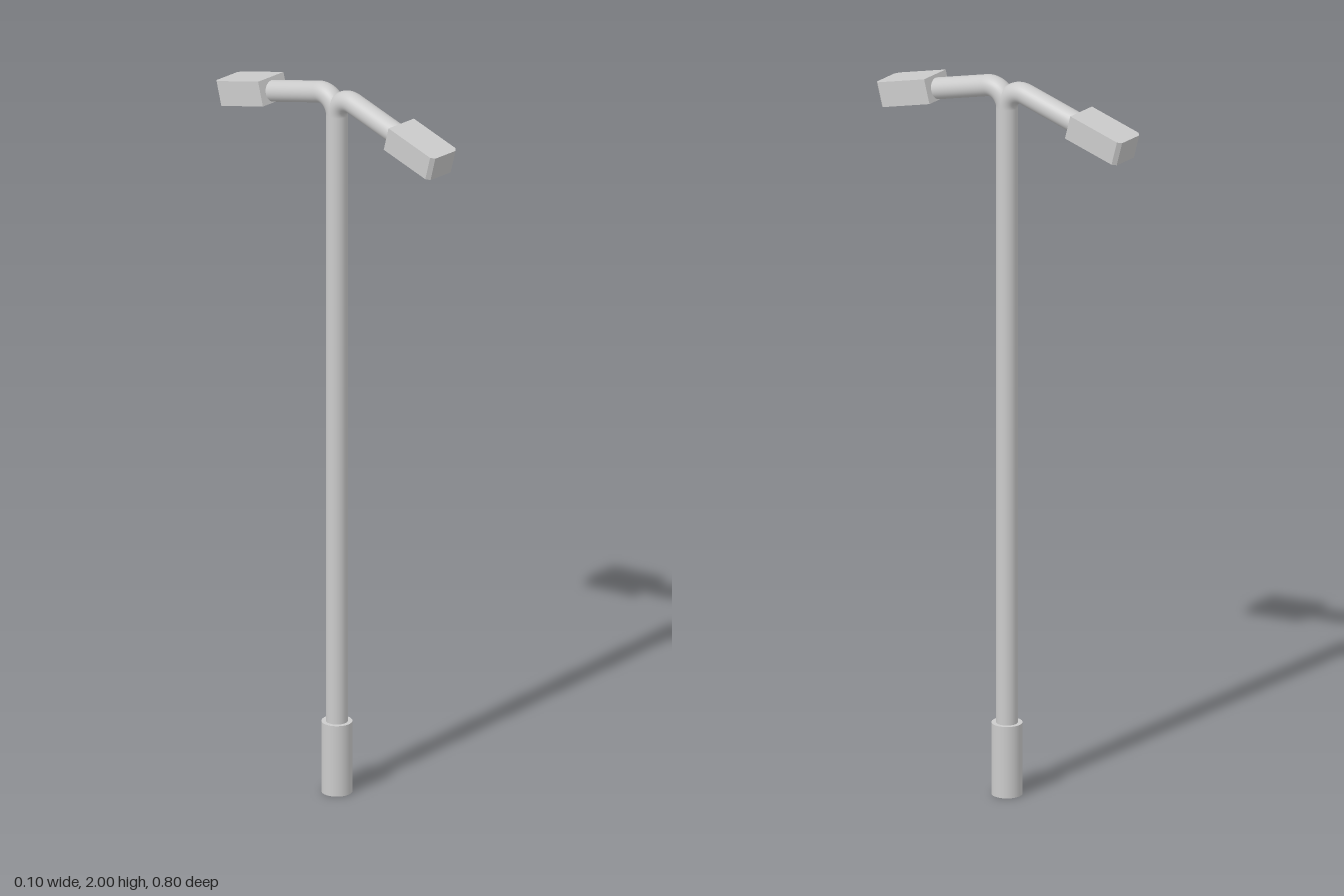
import * as THREE from 'three';

const material = new THREE.MeshStandardMaterial({ color: 0xcccccc });
const TILT = Math.PI / 12; // downward slope of the arms
const PIPE = 0.029; // pipe radius
const BEND = 0.05; // bend radius
const BEND_Y = 1.921; // height of the bend centre
const AXIS_Z = 0.005; // pole axis

function add(parent, name, geometry, x = 0, y = 0, z = 0) {
  const mesh = new THREE.Mesh(geometry, material);
  mesh.name = name;
  mesh.position.set(x, y, z);
  parent.add(mesh);
  return mesh;
}

// Box-shaped lamp head, with its two outer corners cut off in plan
function headGeometry(length, width, height, cut) {
  const l = length / 2, w = width / 2;
  const plan = new THREE.Shape([
    [-l, -w], [l - cut, -w], [l, -w + cut], [l, w - cut], [l - cut, w], [-l, w],
  ].map(([x, y]) => new THREE.Vector2(x, y)));
  const geometry = new THREE.ExtrudeGeometry(plan, { depth: height, bevelEnabled: false });
  return geometry.translate(0, 0, -height / 2).rotateX(-Math.PI / 2);
}

// One arm, built along local +x
function createArm(name, headDistance) {
  const arm = new THREE.Group();
  arm.name = name;

  const bend = add(arm, 'armBend',
    new THREE.TorusGeometry(BEND, PIPE, 32, 24, Math.PI / 2 + TILT), BEND, BEND_Y);
  bend.rotation.z = Math.PI / 2 - TILT;

  const slope = new THREE.Group();
  slope.name = 'slopingArm';
  slope.position.set(BEND * (1 + Math.sin(TILT)), BEND_Y + BEND * Math.cos(TILT), 0);
  slope.rotation.z = -TILT;
  arm.add(slope);

  const pipeLength = 0.2;
  add(slope, 'armPipe',
    new THREE.CylinderGeometry(PIPE, PIPE, pipeLength, 32).rotateZ(Math.PI / 2), pipeLength / 2);
  add(slope, 'lampHead', headGeometry(0.168, 0.096, 0.068, 0.01), headDistance, 0.004);
  return arm;
}

export function createModel() {
  const model = new THREE.Group();
  model.name = 'streetLamp';

  // Pole and its wider foot
  add(model, 'base', new THREE.CylinderGeometry(0.041, 0.041, 0.2, 40), 0, 0.1, AXIS_Z);
  const poleHeight = BEND_Y - 0.19;
  add(model, 'pole', new THREE.CylinderGeometry(PIPE, PIPE, poleHeight, 32),
    0, 0.19 + poleHeight / 2, AXIS_Z);

  // Front and back arms
  for (const [name, side, distance] of [['frontArm', 1, 0.253], ['backArm', -1, 0.26]]) {
    const arm = createArm(name, distance);
    arm.position.z = AXIS_Z;
    arm.rotation.y = -side * Math.PI / 2;
    model.add(arm);
  }
  return model;
}
